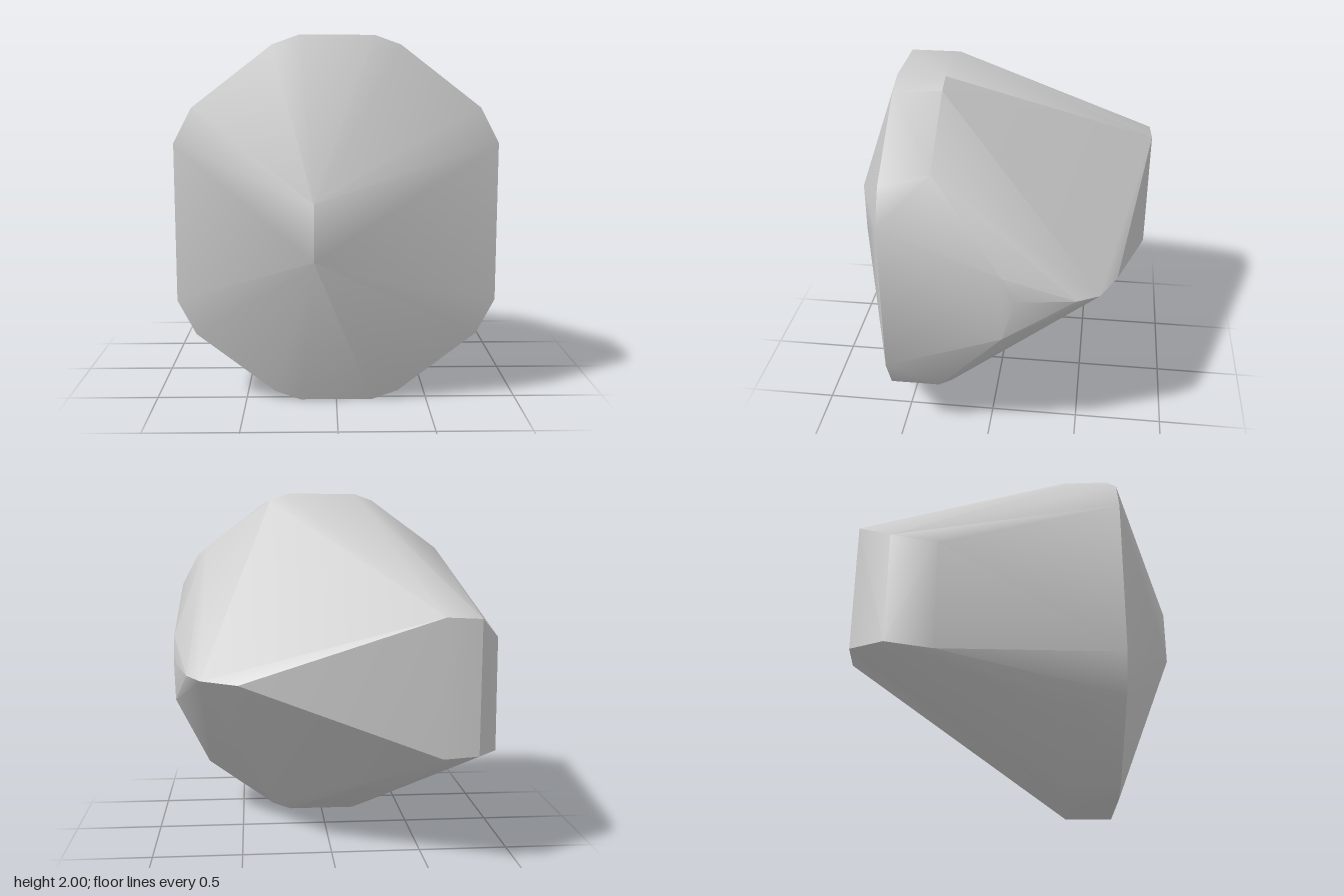
import * as THREE from 'three';
import { ConvexGeometry } from 'three/addons/geometries/ConvexGeometry.js';
import { toCreasedNormals } from 'three/addons/utils/BufferGeometryUtils.js';

export function createModel() {
  const points = [];
  const add = (x, y, z) => points.push(new THREE.Vector3(x, y, z));
  // the same corner above and below the middle height
  const pair = (x, y, z) => { add(x, y, z); add(x, 2 - y, z); };

  for (const s of [-1, 1]) {
    // eight-sided rim around the front, with cut corners
    pair(s * 0.2, 2, 0.54);
    pair(s * 0.34, 1.95, 0.54);
    pair(s * 0.77, 1.62, 0.54);
    pair(s * 0.87, 1.43, 0.54);
    // short band behind the rim
    pair(s * 0.2, 2, 0.28);
    pair(s * 0.31, 1.96, 0.28);
    pair(s * 0.71, 1.67, 0.28);
  }

  // upright front ridge
  pair(-0.12, 1.15, 0.87);

  // blunt ridge running round the +x side to the back
  pair(0.88, 1.19, -0.1);
  add(0.88, 1.05, -0.17);
  add(0.79, 1.02, -0.48);
  add(0.71, 1.01, -0.6);
  add(0.51, 1.0, -0.69);

  // flat -x side
  add(-0.88, 1.19, -0.42);
  add(-0.88, 0.58, -0.42);
  add(-0.87, 1.24, -0.67);
  add(-0.875, 0.62, -0.67);

  // narrow back edge
  pair(-0.55, 1.37, -0.87);
  pair(-0.74, 1.36, -0.86);

  const stone = new THREE.Mesh(
    toCreasedNormals(new ConvexGeometry(points), 0.6),
    new THREE.MeshStandardMaterial({ color: 0xcccccc })
  );
  stone.name = 'facetedStone';

  const model = new THREE.Group();
  model.name = 'stone';
  model.add(stone);
  return model;
}
